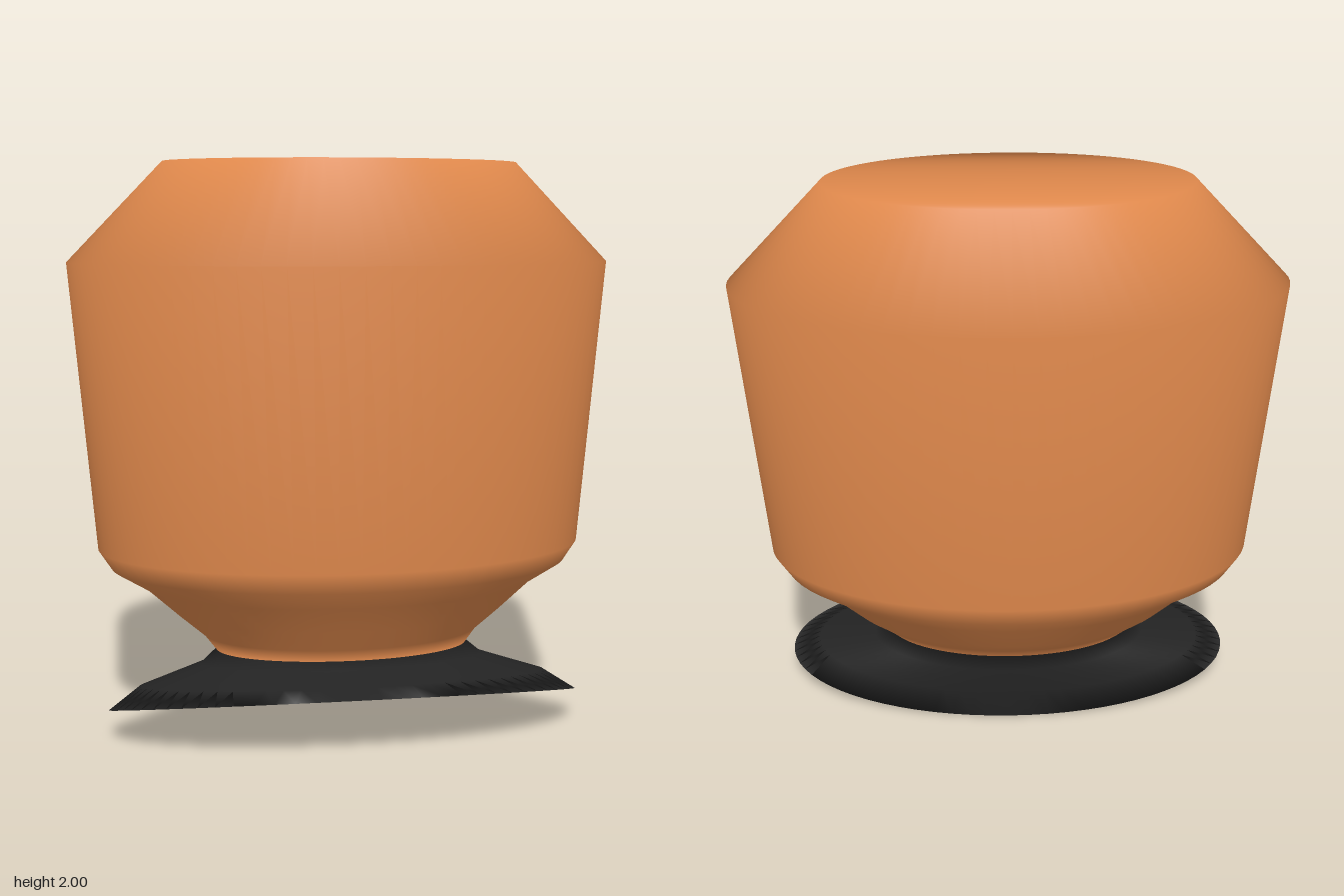
import * as THREE from 'three';

const SEG = 72;

// Each ring: [half width, front z, front y, back z, back y], from top to bottom
const RINGS = [
  [0.615, 0.36, 2.0, -0.36, 2.0],
  [0.945, 0.55, 1.66, -0.55, 1.66],
  [0.865, 0.5, 0.66, -0.5, 0.66],
  [0.82, 0.475, 0.59, -0.475, 0.59],
  [0.705, 0.41, 0.52, -0.41, 0.52],
  [0.59, 0.35, 0.42, -0.34, 0.41],
  [0.5, 0.28, 0.335, -0.265, 0.34],
  [0.455, 0.26, 0.29, -0.2, 0.275],
  [0.51, 0.28, 0.265, -0.195, 0.21],
  [0.73, 0.4, 0.24, -0.205, 0.12],
  [0.84, 0.47, 0.22, -0.19, 0.0],
];
const NECK = 7; // ring where the body meets the base

// Quads between consecutive rings
function wall(from, to) {
  const index = [];
  for (let r = from; r < to; r++) {
    for (let i = 0; i < SEG; i++) {
      const j = (i + 1) % SEG;
      const a = r * SEG, b = a + SEG;
      index.push(a + i, b + i, b + j, a + i, b + j, a + j);
    }
  }
  return index;
}

// Flat cap made of strips across the ring, sharing the rim's smooth normals
function cap(ring, up) {
  const index = [];
  const o = ring * SEG;
  const tri = (a, b, c) => index.push(o + a, o + (up ? b : c), o + (up ? c : b));
  for (let i = 0; i < SEG / 2; i++) {
    const l0 = (SEG - i) % SEG, l1 = SEG - i - 1;
    if (i + 1 < SEG / 2) tri(i, i + 1, l1);
    if (i > 0) tri(i, l1, l0);
  }
  return index;
}

export function createModel() {
  const group = new THREE.Group();
  group.name = 'model';

  const points = [];
  for (const [rx, zf, yf, zb, yb] of RINGS) {
    for (let i = 0; i < SEG; i++) {
      const a = (i / SEG) * Math.PI * 2;
      const t = (1 + Math.cos(a)) / 2; // 1 at the front, 0 at the back
      points.push(rx * Math.sin(a), yb + (yf - yb) * t, zb + (zf - zb) * t);
    }
  }

  // Normals are smoothed over the whole skin, across the colour border
  const skin = new THREE.BufferGeometry();
  skin.setAttribute('position', new THREE.Float32BufferAttribute(points, 3));
  const bodyIndex = [...cap(0, true), ...wall(0, NECK)];
  const last = RINGS.length - 1;
  const baseIndex = [...wall(NECK, last), ...cap(last, false)];
  skin.setIndex([...bodyIndex, ...baseIndex]);
  skin.computeVertexNormals();

  const orange = new THREE.MeshStandardMaterial({ color: 0xdd874b });
  orange.name = 'orange';
  const black = new THREE.MeshStandardMaterial({ color: 0x232323 });
  black.name = 'black';

  const addPart = (name, index, material) => {
    const geometry = skin.clone();
    geometry.setIndex(index);
    const mesh = new THREE.Mesh(geometry, material);
    mesh.name = name;
    group.add(mesh);
  };
  addPart('body', bodyIndex, orange);
  addPart('flaredBase', baseIndex, black);

  return group;
}
